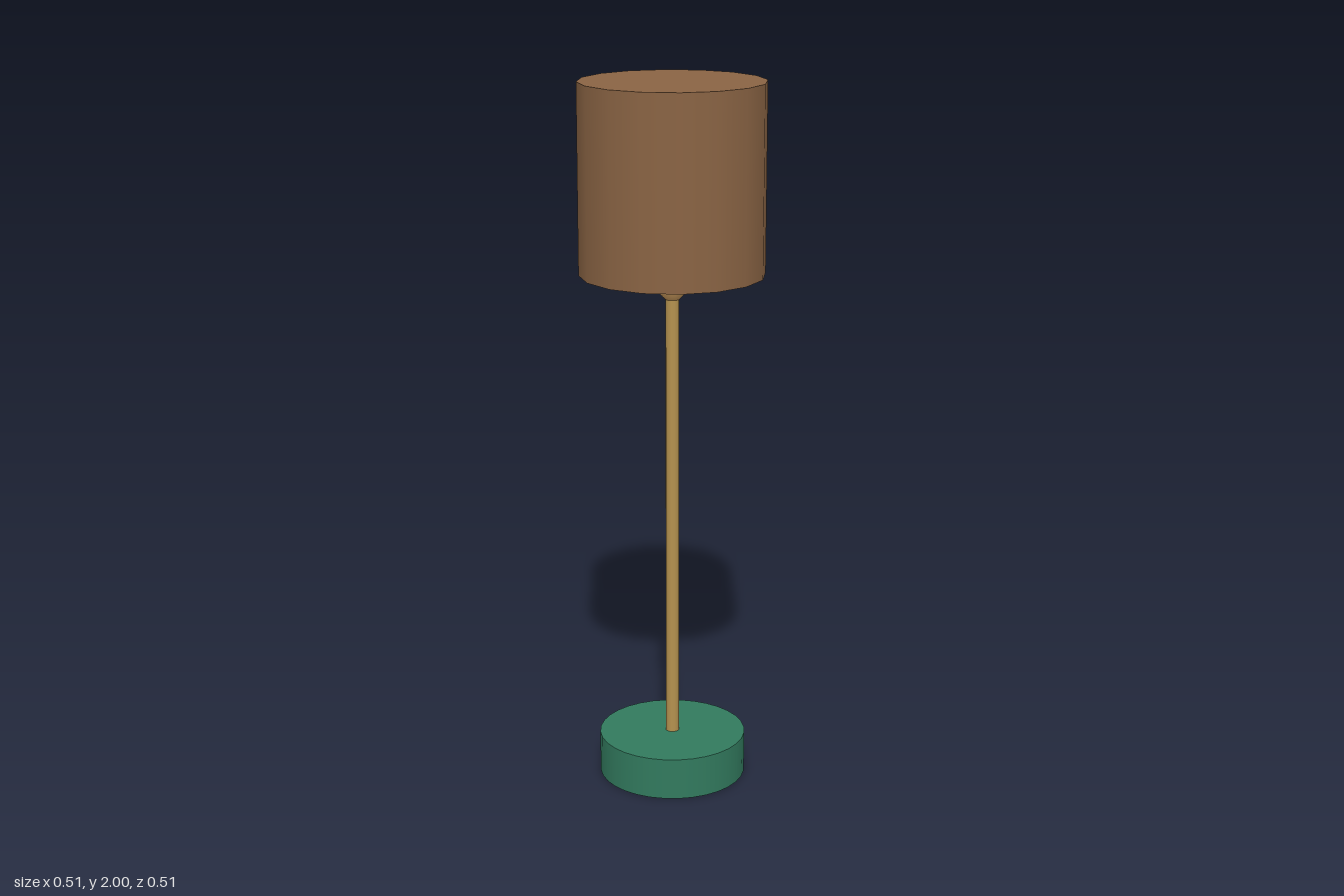
import * as THREE from 'three';

export function createModel() {
  const group = new THREE.Group();
  group.name = 'tableLamp';

  const material = (name, color) => {
    const m = new THREE.MeshStandardMaterial({ color });
    m.name = name;
    return m;
  };
  const green = material('green base', 0x327a5e);
  const brass = material('brass', 0xb5924f);
  const amber = material('amber bulb', 0xd4a262);
  const brown = material('brown shade', 0x8a6444);

  const add = (name, geometry, mat, y = 0) => {
    const mesh = new THREE.Mesh(geometry, mat);
    mesh.name = name;
    mesh.position.y = y;
    group.add(mesh);
  };
  // upright cylinder between two heights
  const column = (name, radius, bottom, top, sides, mat) =>
    add(name, new THREE.CylinderGeometry(radius, radius, top - bottom, sides), mat, (bottom + top) / 2);

  column('base', 0.21, 0, 0.12, 32, green);
  column('pole', 0.019, 0.12, 1.42, 12, brass);
  column('shade', 0.257, 1.475, 2, 16, brown);

  // bulb, tapering down to the pole and mostly inside the shade
  const profile = [
    [0, 1.403], [0.02, 1.405], [0.033, 1.418], [0.046, 1.442], [0.057, 1.475],
    [0.062, 1.51], [0.055, 1.55], [0.033, 1.58], [0, 1.59],
  ].map(([r, y]) => new THREE.Vector2(r, y));
  add('bulb', new THREE.LatheGeometry(profile, 20), amber);

  return group;
}
